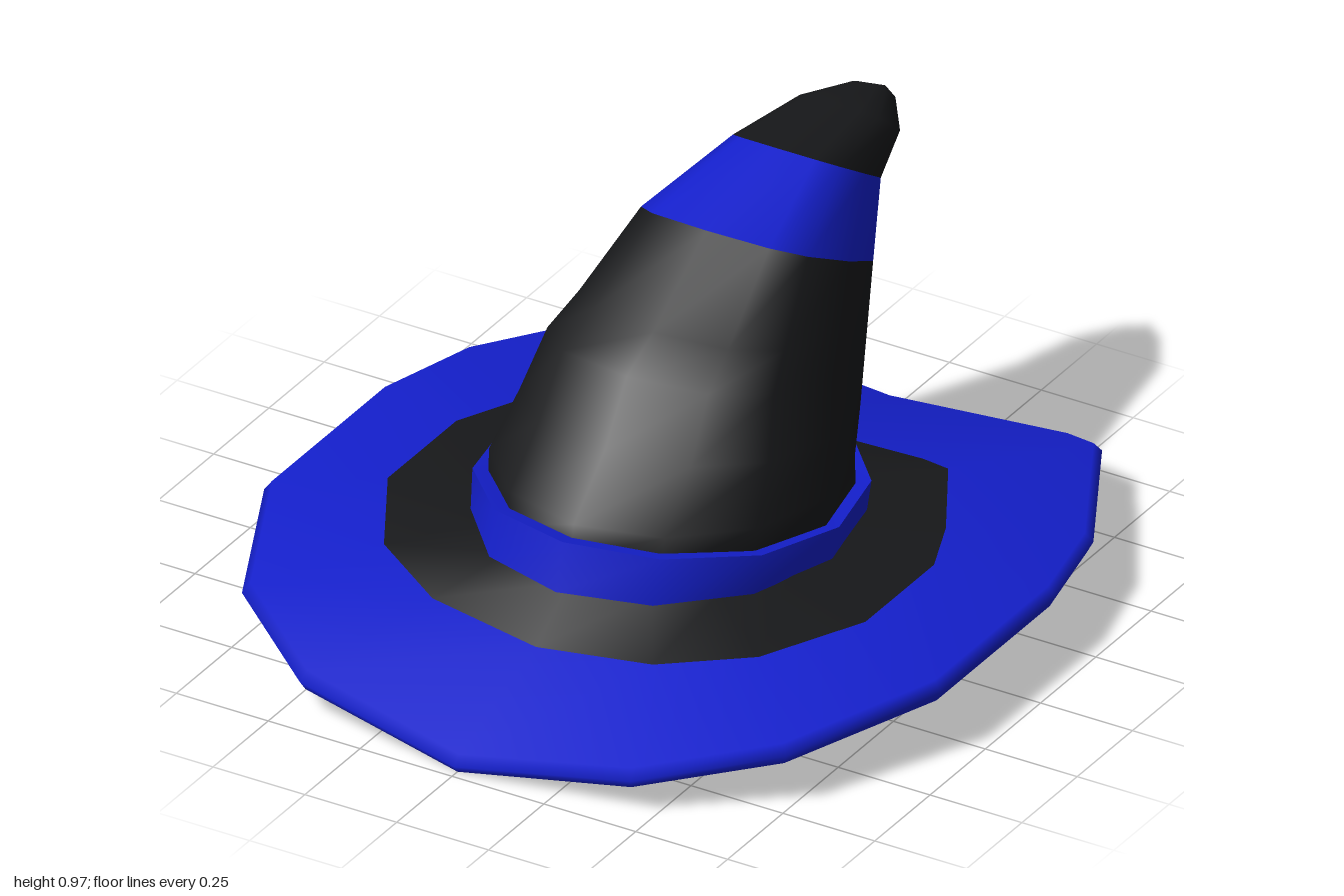
import * as THREE from 'three';

const black = new THREE.MeshStandardMaterial({ color: 0x17181a, side: THREE.DoubleSide });
const blue = new THREE.MeshStandardMaterial({ color: 0x141fcc, side: THREE.DoubleSide });
const SIDES = 12;

// Skin a list of closed rings; smooth within one skin, creased between skins.
function loft(name, material, rings) {
  const n = rings[0].length, index = [];
  for (let i = 0; i < rings.length - 1; i++) {
    for (let j = 0; j < n; j++) {
      const a = i * n + j, b = i * n + (j + 1) % n;
      index.push(a, b, b + n, a, b + n, a + n);
    }
  }
  const geometry = new THREE.BufferGeometry().setFromPoints(rings.flat());
  geometry.setIndex(index);
  geometry.computeVertexNormals();
  const mesh = new THREE.Mesh(geometry, material);
  mesh.name = name;
  return mesh;
}

// Tilted ring through a front and a back point [z, y]; power < 1 squares it off.
function ring([fz, fy], [bz, by], w, power = 1, sag = 0) {
  const bend = v => Math.sign(v) * Math.abs(v) ** power;
  return Array.from({ length: SIDES }, (_, j) => {
    const a = j / SIDES * Math.PI * 2, t = bend(Math.cos(a));
    return new THREE.Vector3(
      w * bend(Math.sin(a)),
      (fy + by) / 2 + (fy - by) / 2 * t - sag * Math.sin(a) ** 2,
      (fz + bz) / 2 + (fz - bz) / 2 * t);
  });
}

// Brim ring: half outline [x, z] from front to back, mirrored, with a height rule.
function brimRing(half, height, scale = 1) {
  const mirrored = half.slice(1, -1).reverse().map(([x, z]) => [-x, z]);
  return [...half, ...mirrored].map(([x, z]) =>
    new THREE.Vector3(x * scale, height(Math.abs(x), z), z * scale));
}

function createBrim() {
  const edge = [[0, 0.99], [0.45, 0.94], [0.74, 0.72], [0.92, 0.32], [0.92, -0.2],
    [0.855, -0.48], [0.62, -0.91], [0.53, -0.94], [0, -1]];
  const seam = [[0, 0.62], [0.3, 0.59], [0.51, 0.46], [0.65, 0.21], [0.65, -0.1],
    [0.58, -0.27], [0.43, -0.53], [0.35, -0.55], [0, -0.58]];
  // Elliptical hole, in step with the seam
  const hole = seam.map(([x, z]) => {
    const a = Math.atan2(x, z);
    return [0.43 * Math.sin(a), 0.01 + 0.46 * Math.cos(a)];
  });

  const rimLow = brimRing(edge, x => 0.005 + 0.147 * x, 0.985);
  const rimMid = brimRing(edge, x => 0.025 + 0.155 * x);
  const rimTop = brimRing(edge, x => 0.05 + 0.155 * x, 0.98);
  const seamTop = brimRing(seam, x => 0.165 + 0.09 * x);
  const seamLow = brimRing(seam, x => 0.13 + 0.09 * x);
  const holeTop = brimRing(hole, (x, z) => 0.24 + 0.055 * z);
  const holeLow = brimRing(hole, (x, z) => 0.205 + 0.055 * z);

  const brim = new THREE.Group();
  brim.name = 'brim';
  brim.add(
    loft('outerBrimTop', blue, [rimLow, rimMid, rimTop, seamTop]),
    loft('outerBrimUnderside', blue, [seamLow, rimLow]),
    loft('innerBrimTop', black, [seamTop, holeTop]),
    loft('innerBrimUnderside', black, [holeLow, seamLow]),
    loft('brimHoleWall', black, [holeTop, holeLow]));
  return brim;
}

function createBand() {
  const low = ring([0.53, 0.268], [-0.49, 0.203], 0.445);
  const high = ring([0.5, 0.388], [-0.49, 0.3], 0.455, 1, 0.025);
  const lip = ring([0.46, 0.38], [-0.44, 0.295], 0.41, 1, 0.025);
  const lowInner = ring([0.47, 0.262], [-0.44, 0.2], 0.4);
  const throat = ring([0.36, 0.35], [-0.33, 0.3], 0.33);
  const centre = ring([0.01, 0.325], [0.01, 0.325], 0);

  const band = new THREE.Group();
  band.name = 'hatBand';
  band.add(
    loft('bandOutside', blue, [low, high]),
    loft('bandTopEdge', blue, [high, lip]),
    loft('bandBottomEdge', blue, [lowInner, low]),
    loft('bandInside', blue, [throat, lowInner]),
    loft('crownFloor', black, [centre, throat]));
  return band;
}

function createCrown() {
  // Rings climb the crown while it bends towards the back
  const lower = [
    ring([0.46, 0.33], [-0.45, 0.26], 0.42),
    ring([0.45, 0.41], [-0.44, 0.36], 0.42),
    ring([0.31, 0.54], [-0.465, 0.45], 0.385, 0.9),
    ring([0.21, 0.69], [-0.51, 0.53], 0.345, 0.8),
    ring([0.09, 0.75], [-0.55, 0.59], 0.31, 0.75),
    ring([-0.15, 0.905], [-0.61, 0.66], 0.25, 0.65),
  ];
  const stripeEnd = ring([-0.46, 0.975], [-0.75, 0.785], 0.16, 0.65);
  const tip = [
    stripeEnd,
    ring([-0.72, 0.967], [-0.88, 0.835], 0.12, 0.75),
    ring([-0.87, 0.945], [-0.95, 0.875], 0.05, 0.85),
    ring([-0.96, 0.895], [-0.96, 0.895], 0),
  ];

  const crown = new THREE.Group();
  crown.name = 'crown';
  crown.add(
    loft('lowerCrown', black, lower),
    loft('crownStripe', blue, [lower.at(-1), stripeEnd]),
    loft('crownTip', black, tip));
  return crown;
}

export function createModel() {
  const hat = new THREE.Group();
  hat.name = 'pointedHat';
  hat.add(createBrim(), createBand(), createCrown());
  return hat;
}
